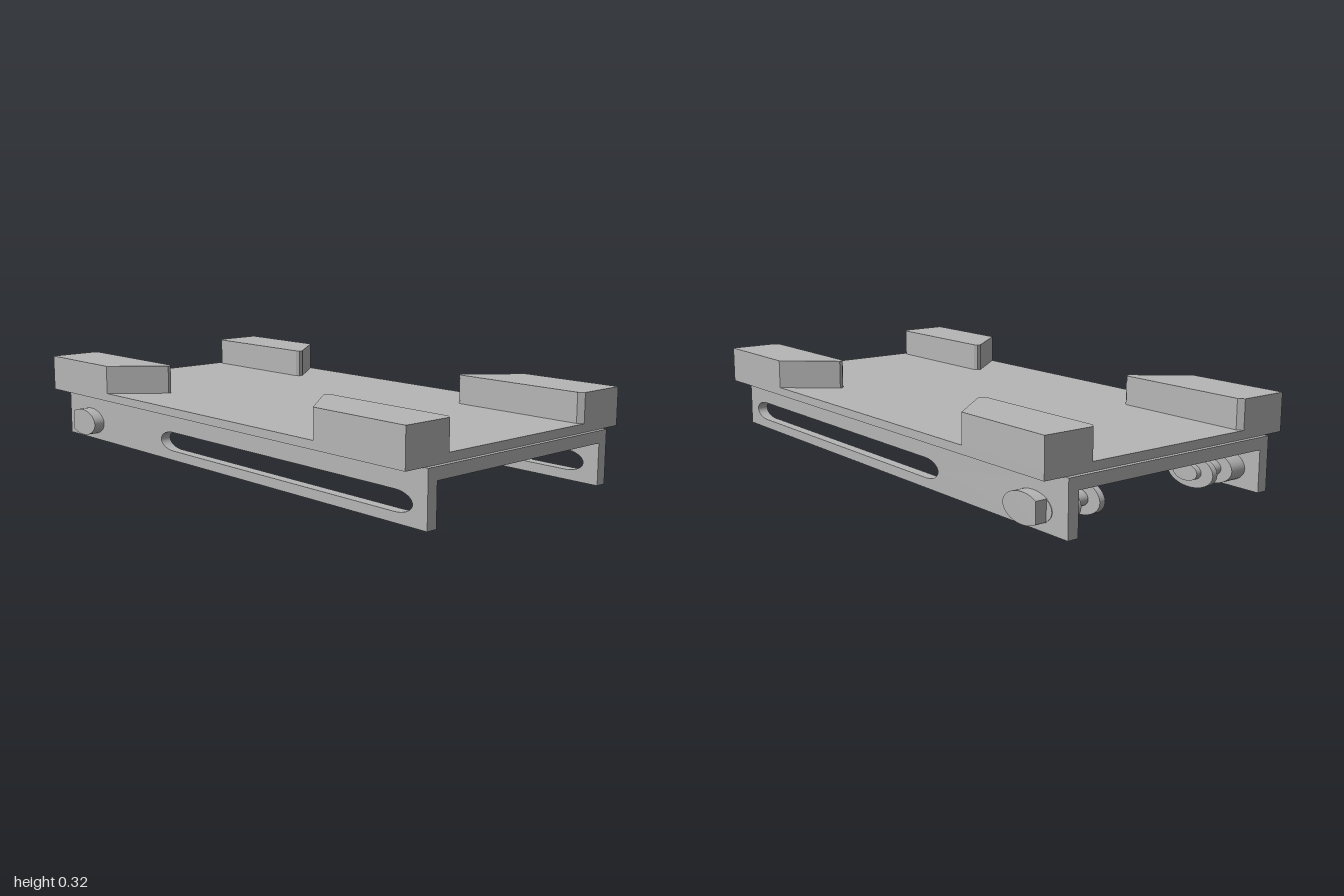
import * as THREE from 'three';

const metal = new THREE.MeshStandardMaterial({ color: 0xb6b6b6 });
metal.name = 'grey metal';

export function createModel() {
  const root = new THREE.Group();
  root.name = 'clampPlate';

  function add(parent, name, geometry, x = 0, y = 0, z = 0) {
    const mesh = new THREE.Mesh(geometry, metal);
    mesh.name = name;
    mesh.position.set(x, y, z);
    parent.add(mesh);
    return mesh;
  }
  const extrude = (shape, depth) =>
    new THREE.ExtrudeGeometry(shape, { depth, bevelEnabled: false, curveSegments: 24 });

  // Deck on top of the channel web
  add(root, 'deck', new THREE.BoxGeometry(1.97, 0.03, 1.04), 0, 0.205, 0);
  add(root, 'channelWeb', new THREE.BoxGeometry(2, 0.043, 0.8), 0, 0.1685, 0);

  // Side flanges, each with a long slot with elliptical ends
  const flange = new THREE.Shape([[-1, 0], [1, 0], [1, 0.19], [-1, 0.19]]
    .map(([x, y]) => new THREE.Vector2(x, y)));
  const slot = new THREE.Path();
  slot.moveTo(-0.275, 0.035);
  slot.lineTo(0.865, 0.035);
  slot.absellipse(0.865, 0.07, 0.075, 0.035, -Math.PI / 2, Math.PI / 2);
  slot.lineTo(-0.275, 0.105);
  slot.absellipse(-0.275, 0.07, 0.075, 0.035, Math.PI / 2, Math.PI * 1.5);
  flange.holes.push(slot);
  const flangeGeometry = extrude(flange, 0.04);
  add(root, 'frontFlange', flangeGeometry, 0, 0, 0.4);
  add(root, 'backFlange', flangeGeometry, 0, 0, -0.44);

  // Four corner blocks with a slanted inner end
  const outline = [[0.985, 0.52], [0.59, 0.52], [0.44, 0.34], [0.442, 0.327], [0.455, 0.318],
    [0.965, 0.318], [0.985, 0.333]];
  for (const sx of [-1, 1]) {
    for (const sz of [-1, 1]) {
      const shape = new THREE.Shape(outline.map(([x, z]) => new THREE.Vector2(sx * x, -sz * z)));
      const block = extrude(shape, 0.105).rotateX(-Math.PI / 2);
      add(root, (sz > 0 ? 'front' : 'back') + (sx > 0 ? 'Left' : 'Right') + 'Block', block, 0, 0.22, 0);
    }
  }

  // D-shaped head with its flat towards the near end
  const head = new THREE.Shape();
  const a = Math.acos(-0.036 / 0.051);
  head.absarc(0, 0, 0.051, -a, a, false);
  head.closePath();

  // Open retaining ring
  const ring = new THREE.Shape();
  const mouth = 0.22;
  ring.absarc(0, 0, 0.057, mouth, Math.PI * 2 - mouth, false);
  ring.absarc(0, 0, 0.022, Math.PI * 2 - mouth * 2.4, mouth * 2.4, true);
  ring.closePath();

  // Pins through the flanges, stretched along the length
  for (const s of [-1, 1]) {
    const pin = new THREE.Group();
    pin.name = s > 0 ? 'frontPin' : 'backPin';
    pin.position.set(-0.84, 0.07, 0);
    pin.scale.x = 1.8;
    root.add(pin);

    const round = (name, radius, z0, z1) => add(pin, name,
      new THREE.CylinderGeometry(radius, radius, z1 - z0, 40).rotateX(Math.PI / 2),
      0, 0, s * (z0 + z1) / 2);
    const plate = (name, shape, z0, z1) =>
      add(pin, name, extrude(shape, z1 - z0), 0, 0, s > 0 ? z0 : -z1);

    plate('pinHead', head, 0.43, 0.483);
    round('pinShank', 0.05, 0.39, 0.442);
    round('pinCollar', 0.056, 0.335, 0.401);
    round('pinShaft', 0.03, 0.265, 0.336);
    round('pinNeck', 0.022, 0.237, 0.266);
    plate('retainingRing', ring, 0.24, 0.262);
    round('pinTip', 0.03, 0.217, 0.238);
  }
  return root;
}
